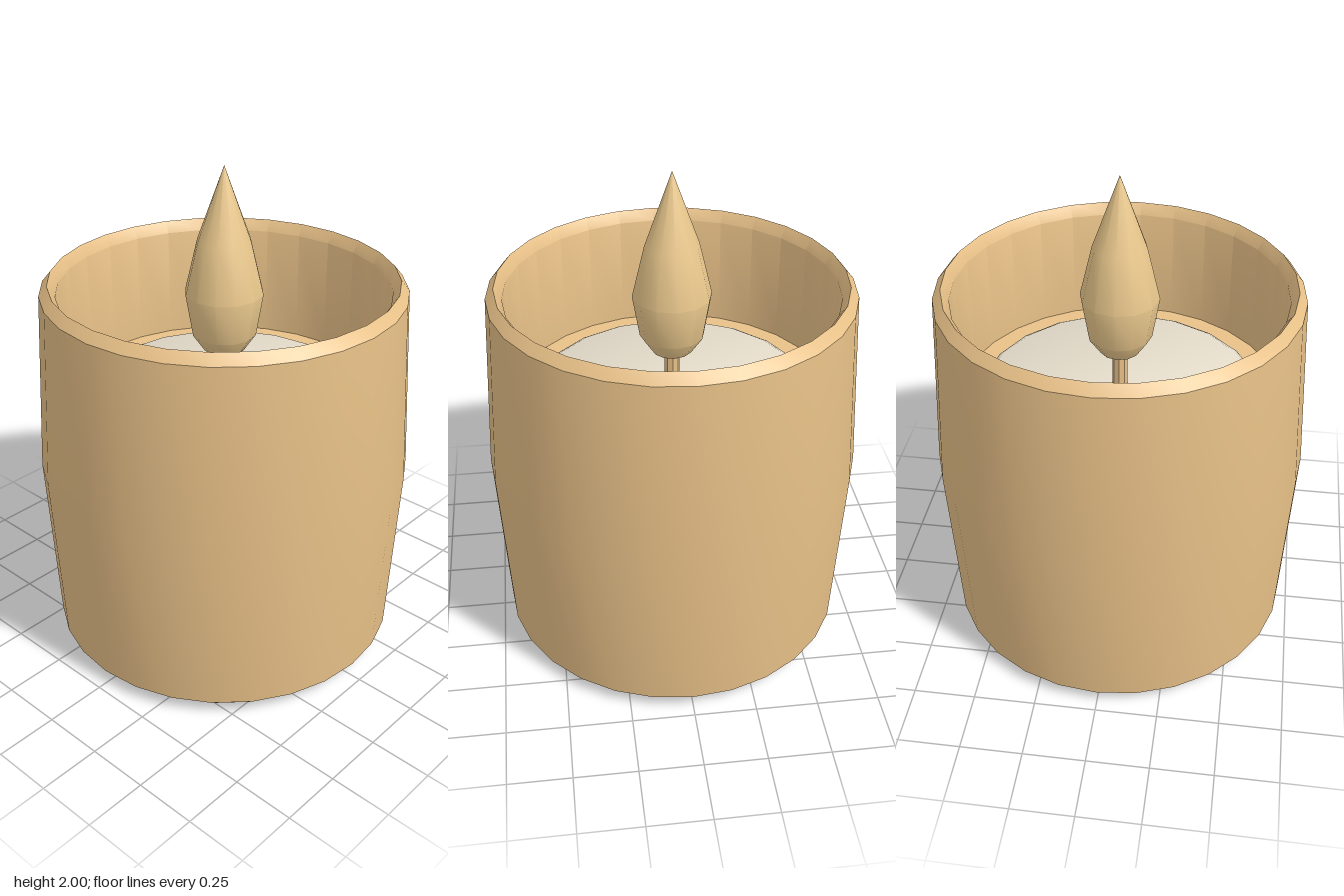
import * as THREE from 'three';
import { toCreasedNormals } from 'three/addons/utils/BufferGeometryUtils.js';

// Turned part from a [radius, height] profile, listed bottom outside to top inside
function turned(name, profile, sides, color, crease = 0.6) {
  const points = profile.map(([r, y]) => new THREE.Vector2(r, y));
  const geometry = toCreasedNormals(new THREE.LatheGeometry(points, sides), crease);
  const mesh = new THREE.Mesh(geometry, new THREE.MeshStandardMaterial({ color }));
  mesh.name = name;
  return mesh;
}

export function createModel() {
  const group = new THREE.Group();
  group.name = 'candle';

  // Bulging holder with chamfered foot, bevelled lip and recessed floor
  group.add(turned('holder', [
    [0, 0], [0.645, 0], [0.71, 0.06], [0.748, 0.79], [0.71, 1.525],
    [0.677, 1.565], [0.648, 1.52], [0.648, 1.06], [0, 1.06],
  ], 28, 0xe8c188));

  // Wax disc with a softened edge
  group.add(turned('wax', [
    [0.56, 1.05], [0.56, 1.075], [0.535, 1.09], [0, 1.09],
  ], 20, 0xe8dfcd, 1.2));

  // Wick under the flame
  group.add(turned('wick', [[0.03, 1.08], [0.03, 1.28]], 8, 0xe8c188));

  // Teardrop flame
  group.add(turned('flame', [
    [0, 1.24], [0.08, 1.26], [0.127, 1.33], [0.155, 1.5], [0.105, 1.71], [0, 2],
  ], 12, 0xecca8e));

  return group;
}
